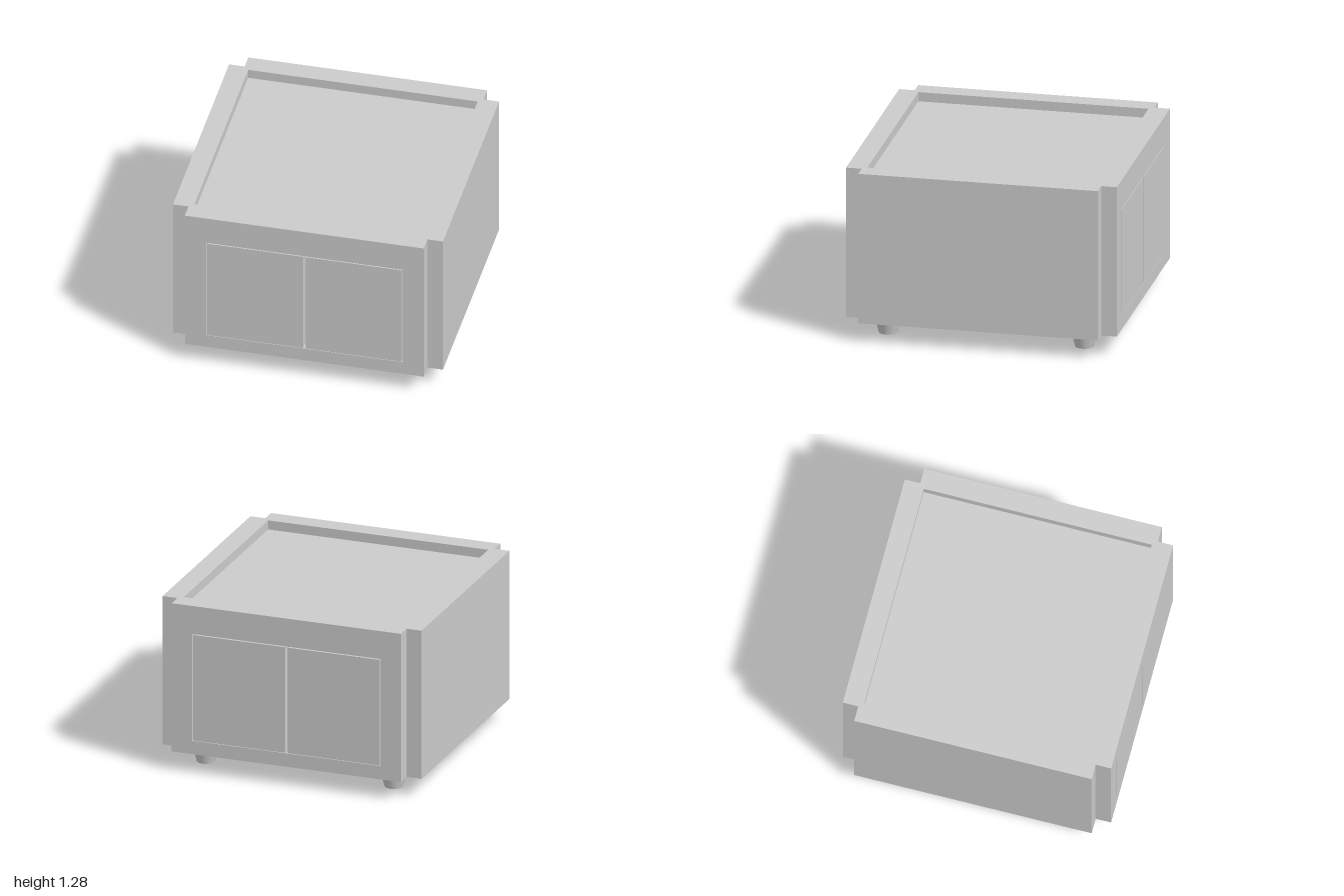
import * as THREE from 'three';

const material = new THREE.MeshStandardMaterial({ color: 0xcccccc });

// Main dimensions
const BOTTOM = 0.145, TOP = 1.285, HEIGHT = TOP - BOTTOM;
const CORE = 0.885;      // half width of the core and of each wall panel
const PANEL = 1 - CORE;  // thickness of the wall panels
const INNER = 0.85;      // half width of the sunken top
const SUNK = 0.07;       // depth of the sunken top
const DOOR_X = 0.727, DOOR_Y0 = 0.248, DOOR_Y1 = 1.07, GAP = 0.007;

function add(parent, name, geometry, x = 0, y = 0, z = 0) {
  const mesh = new THREE.Mesh(geometry, material);
  mesh.name = name;
  mesh.position.set(x, y, z);
  parent.add(mesh);
  return mesh;
}

function rectangle(PathType, x0, y0, x1, y1) {
  return new PathType([[x0, y0], [x1, y0], [x1, y1], [x0, y1]].map(p => new THREE.Vector2(...p)));
}

function frame(outer, hole, depth) {
  const shape = rectangle(THREE.Shape, ...outer);
  shape.holes.push(rectangle(THREE.Path, ...hole));
  return new THREE.ExtrudeGeometry(shape, { depth, bevelEnabled: false });
}

// Framed face with a pair of flush doors
function createDoorFace(name) {
  const face = new THREE.Group();
  face.name = name;
  add(face, 'doorFrame', frame(
    [-CORE, BOTTOM, CORE, TOP], [-DOOR_X, DOOR_Y0, DOOR_X, DOOR_Y1], PANEL), 0, 0, CORE);
  const inner = 0.009, outer = DOOR_X - GAP;
  const y0 = DOOR_Y0 + 0.003, y1 = DOOR_Y1 - GAP;
  for (const side of [-1, 1]) {
    add(face, side > 0 ? 'leftDoor' : 'rightDoor',
      new THREE.BoxGeometry(outer - inner, y1 - y0, PANEL),
      side * (inner + outer) / 2, (y0 + y1) / 2, CORE + PANEL / 2);
  }
  return face;
}

export function createModel() {
  const model = new THREE.Group();
  model.name = 'cabinet';

  // Core whose upper face is the sunken top
  add(model, 'core', new THREE.BoxGeometry(2 * CORE, HEIGHT - SUNK, 2 * CORE),
    0, BOTTOM + (HEIGHT - SUNK) / 2, 0);

  // Raised rim around the top
  const rim = add(model, 'topRim', frame(
    [-CORE, -CORE, CORE, CORE], [-INNER, -INNER, INNER, INNER], SUNK), 0, TOP - SUNK, 0);
  rim.rotation.x = -Math.PI / 2;

  // Plain side walls
  for (const side of [-1, 1]) {
    add(model, side > 0 ? 'leftWall' : 'rightWall',
      new THREE.BoxGeometry(PANEL, HEIGHT, 2 * CORE),
      side * (CORE + PANEL / 2), BOTTOM + HEIGHT / 2, 0);
  }

  // Matching door faces at front and back
  const back = createDoorFace('backFace');
  back.rotation.y = Math.PI;
  model.add(createDoorFace('frontFace'), back);

  // Tapered round feet
  const footGeometry = new THREE.CylinderGeometry(0.104, 0.068, BOTTOM, 32);
  for (const x of [-0.725, 0.725]) {
    for (const z of [-0.725, 0.725]) add(model, 'foot', footGeometry, x, BOTTOM / 2, z);
  }
  return model;
}
